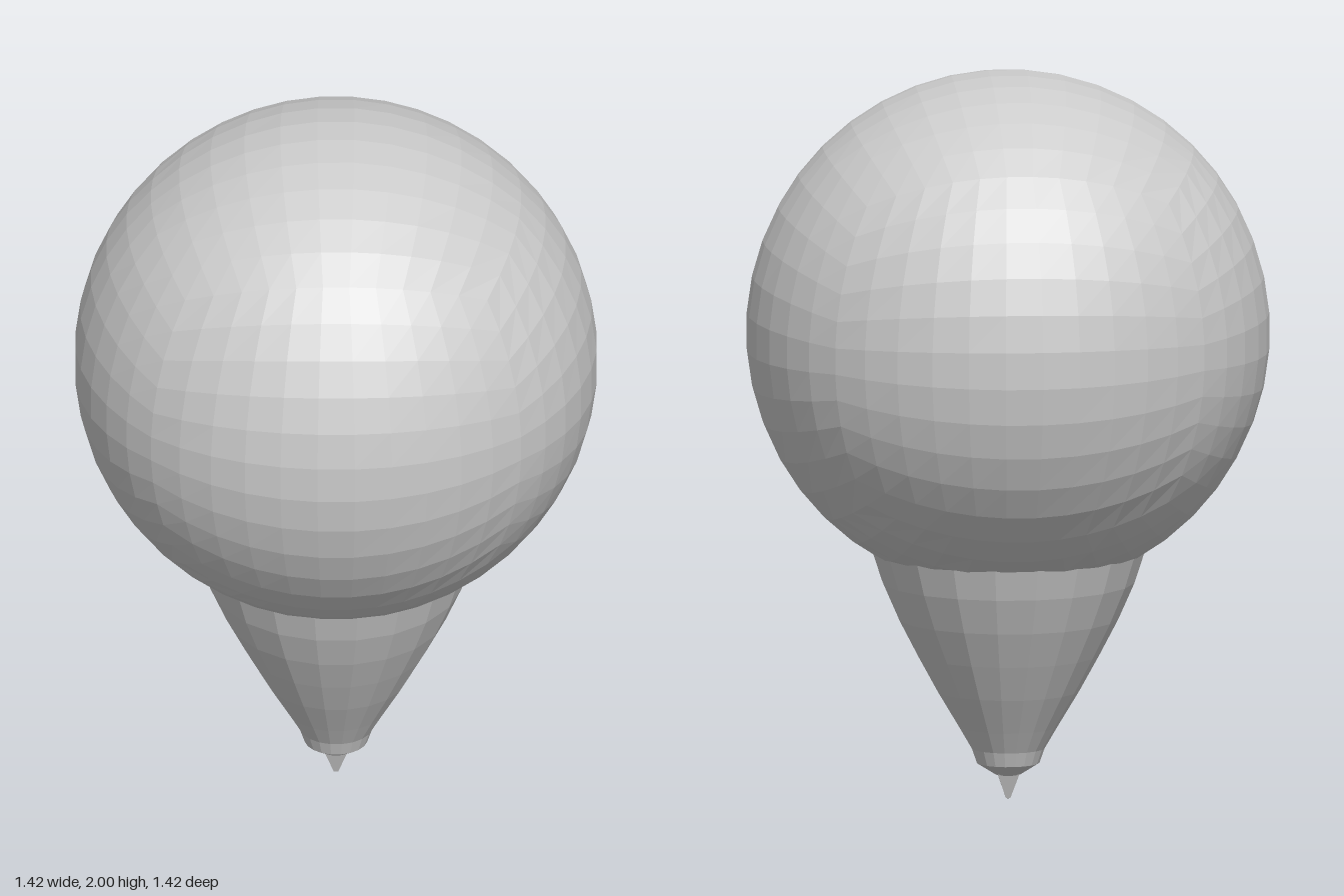
import * as THREE from 'three';

const material = new THREE.MeshStandardMaterial({ color: 0xcccccc, flatShading: true });

// Faceted ball: a subdivided cube with equal-angle spacing pushed out to a sphere
function quadSphere(radius, segments) {
  const geometry = new THREE.BoxGeometry(2, 2, 2, segments, segments, segments);
  const position = geometry.attributes.position;
  const v = new THREE.Vector3();
  const bend = (t) => Math.tan((t * Math.PI) / 4);
  for (let i = 0; i < position.count; i++) {
    v.fromBufferAttribute(position, i);
    v.set(bend(v.x), bend(v.y), bend(v.z)).setLength(radius);
    position.setXYZ(i, v.x, v.y, v.z);
  }
  geometry.computeVertexNormals();
  return geometry;
}

// Low-poly turned part with a flat facing the front
function turned(profile, sides) {
  const points = profile.map(([r, y]) => new THREE.Vector2(r, y));
  return new THREE.LatheGeometry(points, sides, Math.PI / sides);
}

export function createModel() {
  const group = new THREE.Group();
  const add = (name, geometry, y = 0) => {
    const mesh = new THREE.Mesh(geometry, material);
    mesh.name = name;
    mesh.position.y = y;
    group.add(mesh);
  };

  // Large round scoop
  add('scoop', quadSphere(0.713, 11), 1.29);

  // Bulging cone, its rim hidden inside the scoop
  add('cone', turned([
    [0, 0.065], [0.035, 0.068], [0.086, 0.1], [0.1, 0.14], [0.135, 0.2], [0.195, 0.3],
    [0.25, 0.4], [0.302, 0.5], [0.346, 0.6], [0.375, 0.69], [0.38, 0.76], [0, 0.76],
  ], 20));

  // Small pointed tip
  add('tip', turned([[0, 0], [0.009, 0.003], [0.042, 0.072], [0, 0.1]], 4));

  return group;
}
